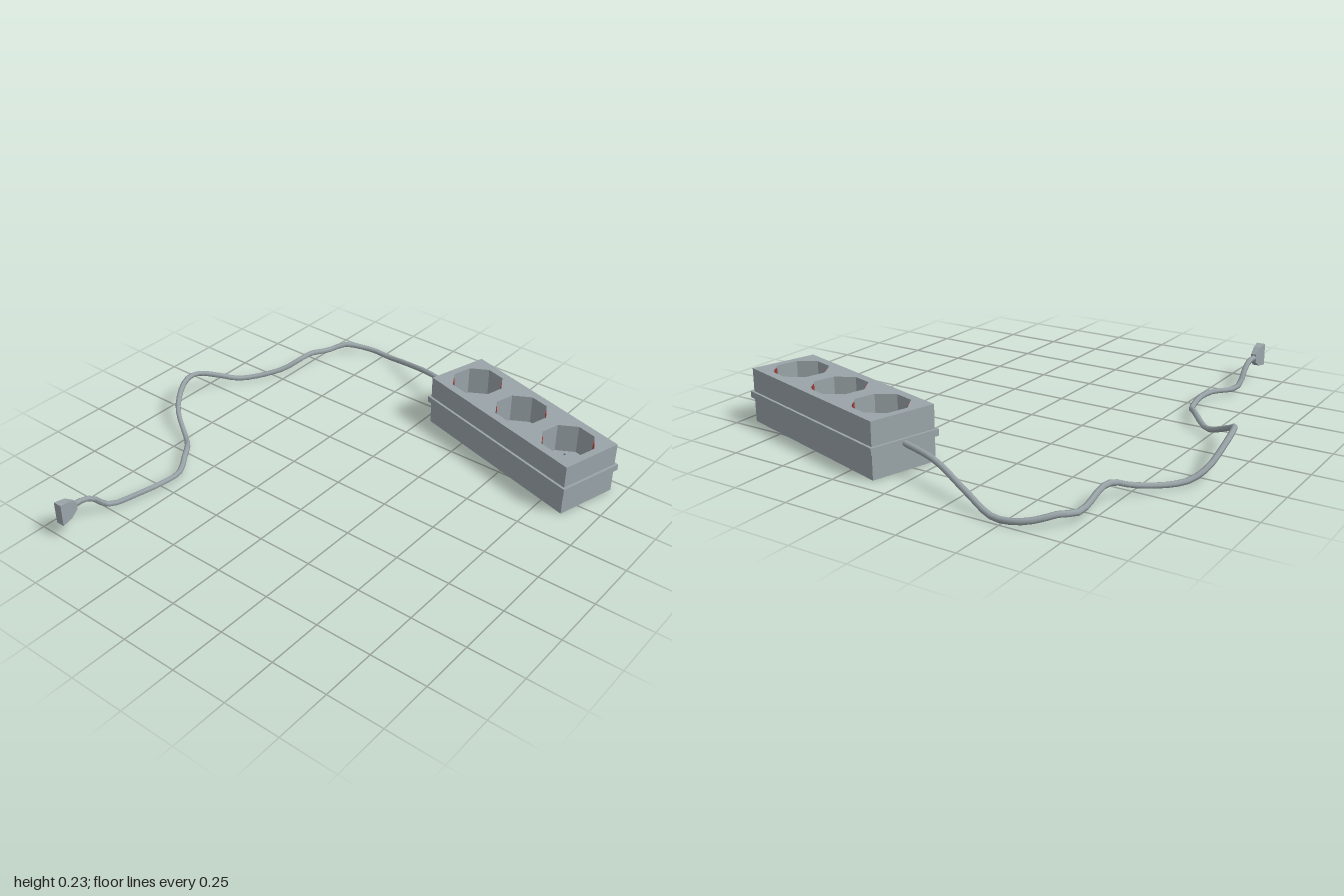
import * as THREE from 'three';

const grey = new THREE.MeshStandardMaterial({ color: 0x9aa5a9 });
grey.name = 'grey plastic';
const red = new THREE.MeshStandardMaterial({ color: 0xa83a34 });
red.name = 'red contact';
const black = new THREE.MeshStandardMaterial({ color: 0x060606 });
black.name = 'black hole';

const WIDTH = 0.293, LENGTH = 0.865, HEIGHT = 0.235, FLOOR = 0.105;
const SOCKETS = [-0.29, 0, 0.29];
const SOCKET_RADIUS = 0.118;

function add(parent, name, geometry, material, x = 0, y = 0, z = 0) {
  const mesh = new THREE.Mesh(geometry, material);
  mesh.name = name;
  mesh.position.set(x, y, z);
  parent.add(mesh);
  return mesh;
}

function rectangle(PathType, w, l) {
  const p = new PathType();
  p.moveTo(-w / 2, -l / 2);
  p.lineTo(w / 2, -l / 2);
  p.lineTo(w / 2, l / 2);
  p.lineTo(-w / 2, l / 2);
  p.closePath();
  return p;
}

// Extrudes a floor plan upwards
function raise(shape, height) {
  return new THREE.ExtrudeGeometry(shape, { depth: height, bevelEnabled: false }).rotateX(-Math.PI / 2);
}

function createStrip() {
  const strip = new THREE.Group();
  strip.name = 'socketStrip';

  // Lower shell; its top is the floor of the sockets
  add(strip, 'lowerShell', new THREE.BoxGeometry(WIDTH, FLOOR, LENGTH), grey, 0, FLOOR / 2, 0);

  // Upper shell with octagonal wells
  const plan = rectangle(THREE.Shape, WIDTH, LENGTH);
  for (const z of SOCKETS) {
    const points = [];
    for (let i = 0; i < 8; i++) {
      const a = Math.PI / 8 - i * Math.PI / 4;
      points.push(new THREE.Vector2(Math.cos(a) * SOCKET_RADIUS, -z + Math.sin(a) * SOCKET_RADIUS));
    }
    plan.holes.push(new THREE.Path(points));
  }
  add(strip, 'upperShell', raise(plan, HEIGHT - FLOOR), grey, 0, FLOOR, 0);

  // Rim around the seam
  const rim = rectangle(THREE.Shape, WIDTH + 0.022, LENGTH + 0.022);
  rim.holes.push(rectangle(THREE.Path, WIDTH - 0.004, LENGTH - 0.004));
  add(strip, 'seamRim', raise(rim, 0.028), grey, 0, 0.106, 0);

  // Contacts and pin holes
  const apothem = SOCKET_RADIUS * Math.cos(Math.PI / 8);
  const depth = HEIGHT - FLOOR;
  for (const z of SOCKETS) {
    const socket = new THREE.Group();
    socket.name = 'socket';
    socket.position.set(0, FLOOR, z);
    strip.add(socket);
    for (const s of [-1, 1]) {
      const d = s * (apothem - 0.001) * Math.SQRT1_2;
      const contact = add(socket, 'earthContact', new THREE.BoxGeometry(0.006, depth - 0.002, 0.026), red, d, depth / 2 - 0.001, d);
      contact.rotation.y = -Math.PI / 4;
      const p = s * 0.067 * Math.SQRT1_2;
      add(socket, 'pinHole', new THREE.BoxGeometry(0.021, 0.004, 0.021), black, p, 0.002, -p).rotation.y = 0.28;
    }
  }
  strip.position.set(0.668, 0, 0.488);
  strip.rotation.y = -0.28;
  return strip;
}

// Flat plug, thinner towards the cable
function createPlug() {
  const half = [[-1, 0.05], [-0.95, 0.043], [-0.915, 0.018]];
  const outline = [
    ...half.map(([x, h]) => new THREE.Vector2(x, -h)),
    ...half.slice().reverse().map(([x, h]) => new THREE.Vector2(x, h)),
  ];
  const geometry = new THREE.ExtrudeGeometry(new THREE.Shape(outline), { depth: 0.04, bevelEnabled: false });
  geometry.translate(0, 0, -0.02);
  const pos = geometry.attributes.position;
  for (let i = 0; i < pos.count; i++) {
    const t = (pos.getX(i) + 1) / 0.085;
    pos.setZ(i, pos.getZ(i) * (1 - 0.4 * t));
  }
  geometry.computeVertexNormals();
  return geometry;
}

// Cable centre line from plug to strip
const CABLE = [
  [-0.93, 0.12, -0.635], [-0.87, 0.12, -0.632], [-0.82, 0.093, -0.632], [-0.765, 0.035, -0.632],
  [-0.73, 0.022, -0.62], [-0.6, 0.035, -0.57], [-0.51, 0.033, -0.555], [-0.39, 0.02, -0.57],
  [-0.32, 0.04, -0.61], [-0.26, 0.048, -0.65], [-0.19, 0.024, -0.73], [-0.1, 0.08, -0.865],
  [0, 0.13, -0.93], [0.07, 0.138, -0.953], [0.14, 0.122, -0.96], [0.27, 0.055, -0.943],
  [0.34, 0.022, -0.905], [0.41, 0.018, -0.855], [0.53, 0.04, -0.768], [0.6, 0.068, -0.732],
  [0.67, 0.075, -0.722], [0.82, 0.035, -0.716], [0.9, 0.045, -0.675], [0.95, 0.03, -0.62],
  [0.98, 0.018, -0.55], [0.98, 0.014, -0.46], [0.926, 0.055, -0.31], [0.85, 0.105, -0.12],
  [0.785, 0.118, 0.09],
];

export function createModel() {
  const model = new THREE.Group();
  model.name = 'extensionLead';
  model.add(createStrip());
  add(model, 'plug', createPlug(), grey, 0, 0.12, -0.633);
  const path = new THREE.CatmullRomCurve3(CABLE.map((p) => new THREE.Vector3(...p)));
  add(model, 'cable', new THREE.TubeGeometry(path, 72, 0.0125, 6), grey);
  return model;
}
